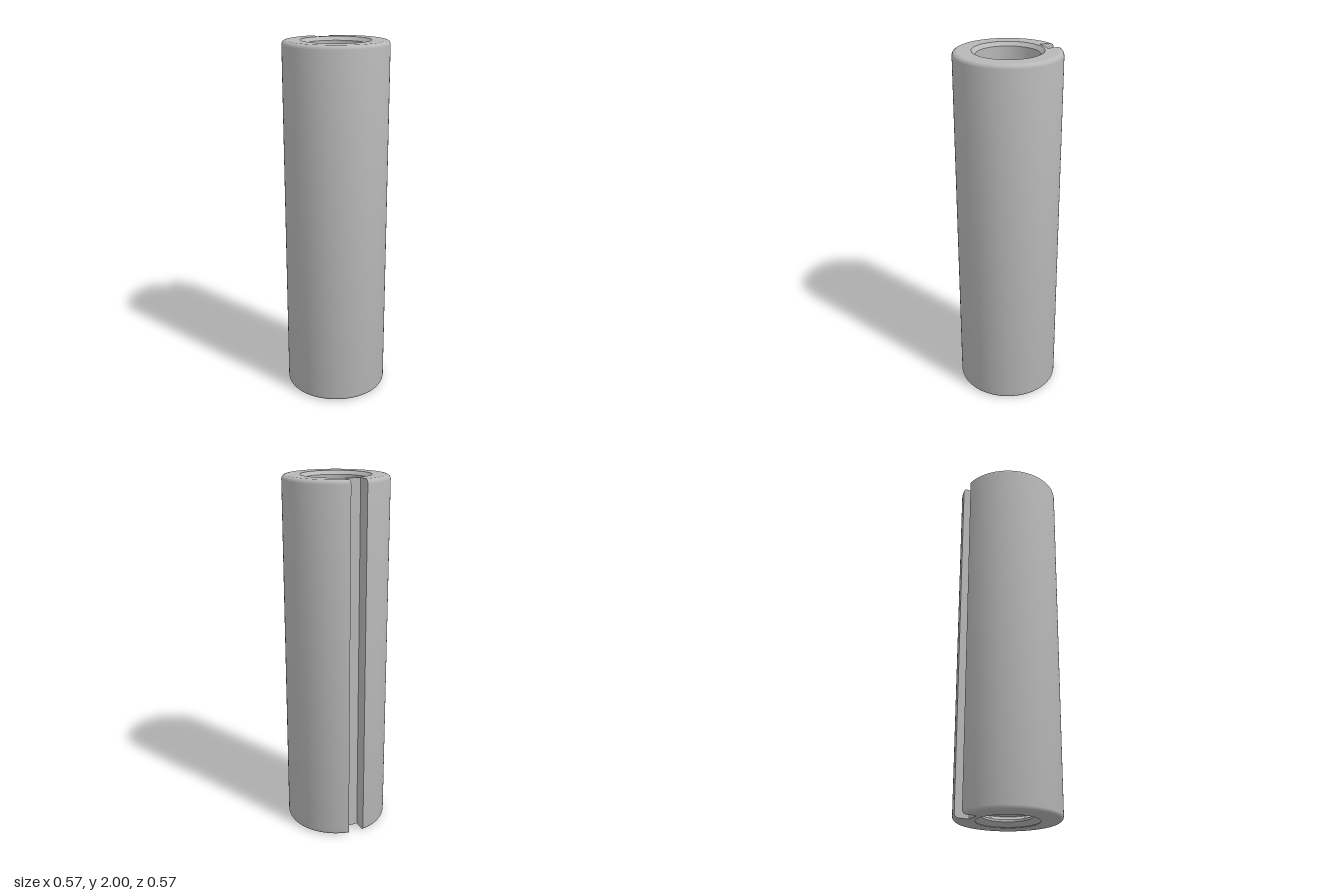
import * as THREE from 'three';
import { toCreasedNormals } from 'three/addons/utils/BufferGeometryUtils.js';

const SEG = 96, R = 0.285, H = 2, FILLET = 0.022;
const SLOT_HALF = 0.045, SLOT_FLOOR = -0.2;
const MOUTH_TOP = 0.187, BORE = 0.168, MOUTH_BOTTOM = 0.168, MINOR = 0.131;

// Slotted circle as [x, z] points, starting at the slot's +x lip
function contour(r) {
  const a0 = Math.asin(SLOT_HALF / r), pts = [];
  for (let i = 0; i <= SEG; i++) {
    const a = a0 + (i / SEG) * (2 * Math.PI - 2 * a0);
    pts.push([r * Math.sin(a), -r * Math.cos(a)]);
  }
  pts.push([-SLOT_HALF, SLOT_FLOOR], [SLOT_HALF, SLOT_FLOOR]);
  return pts;
}

// Outer wall and slot walls, lofted through rounded end levels
function outerWall() {
  const levels = [], steps = 4;
  for (let i = 0; i <= steps; i++) {
    const t = (i / steps) * Math.PI / 2;
    levels.push([FILLET * (1 - Math.sin(t)), R - FILLET * (1 - Math.sin(Math.PI / 2 - t))]);
  }
  // quarter arc from the end face (small radius) to the side (full radius)
  const low = levels.map((_, i) => {
    const t = (i / steps) * Math.PI / 2;
    return [FILLET * (1 - Math.cos(t)), R - FILLET + FILLET * Math.sin(t)];
  });
  const all = [...low, ...low.slice().reverse().map(([y, r]) => [H - y, r])];
  const pos = [], index = [], n = SEG + 3;
  for (const [y, r] of all) for (const [x, z] of contour(r)) pos.push(x, y, z);
  for (let k = 0; k < all.length - 1; k++) {
    for (let i = 0; i < n; i++) {
      const j = (i + 1) % n;
      const a = k * n + i, b = k * n + j, c = a + n, d = b + n;
      index.push(a, c, b, b, c, d);
    }
  }
  const g = new THREE.BufferGeometry();
  g.setAttribute('position', new THREE.Float32BufferAttribute(pos, 3));
  g.setIndex(index);
  return toCreasedNormals(g, 0.6);
}

// Flat slotted ring closing one end
function endFace(holeRadius, top) {
  const s = top ? -1 : 1;
  const shape = new THREE.Shape(contour(R - FILLET).map(([x, z]) => new THREE.Vector2(x, s * z)));
  const hole = [];
  for (let i = 0; i < SEG; i++) {
    const a = (i / SEG) * Math.PI * 2;
    hole.push(new THREE.Vector2(holeRadius * Math.sin(a), holeRadius * Math.cos(a)));
  }
  shape.holes.push(new THREE.Path(hole));
  const g = new THREE.ShapeGeometry(shape);
  g.rotateX(s * Math.PI / 2);
  g.translate(0, top ? H : 0, 0);
  return g;
}

// Inward-facing surface from a profile running downwards
function innerLathe(points) {
  const g = new THREE.LatheGeometry(points.map(([r, y]) => new THREE.Vector2(r, y)), SEG);
  return toCreasedNormals(g, 0.4);
}

export function createModel() {
  const group = new THREE.Group();
  const steel = new THREE.MeshStandardMaterial({ color: 0xb8b8b8 });
  steel.name = 'steel grey';

  const add = (name, geometry) => {
    const mesh = new THREE.Mesh(geometry, steel);
    mesh.name = name;
    group.add(mesh);
  };

  add('slottedBody', outerWall());
  add('topFace', endFace(MOUTH_TOP, true));
  add('bottomFace', endFace(MOUTH_BOTTOM, false));

  // Clear bore below a chamfered mouth
  const threadTop = 0.92, pitch = 0.0575;
  add('upperBore', innerLathe([[MOUTH_TOP, H], [BORE, H - 0.02], [BORE, threadTop]]));

  // Ridged lower bore, each ridge a flat-crested V
  const ridges = [[BORE, threadTop]];
  const count = Math.round(threadTop / pitch);
  for (let i = 0; i < count; i++) {
    const y = threadTop - i * pitch;
    ridges.push([MINOR, y - pitch * 0.38], [MINOR, y - pitch * 0.58], [MOUTH_BOTTOM, y - pitch * 0.95], [MOUTH_BOTTOM, y - pitch]);
  }
  add('threadedBore', innerLathe(ridges));

  return group;
}
